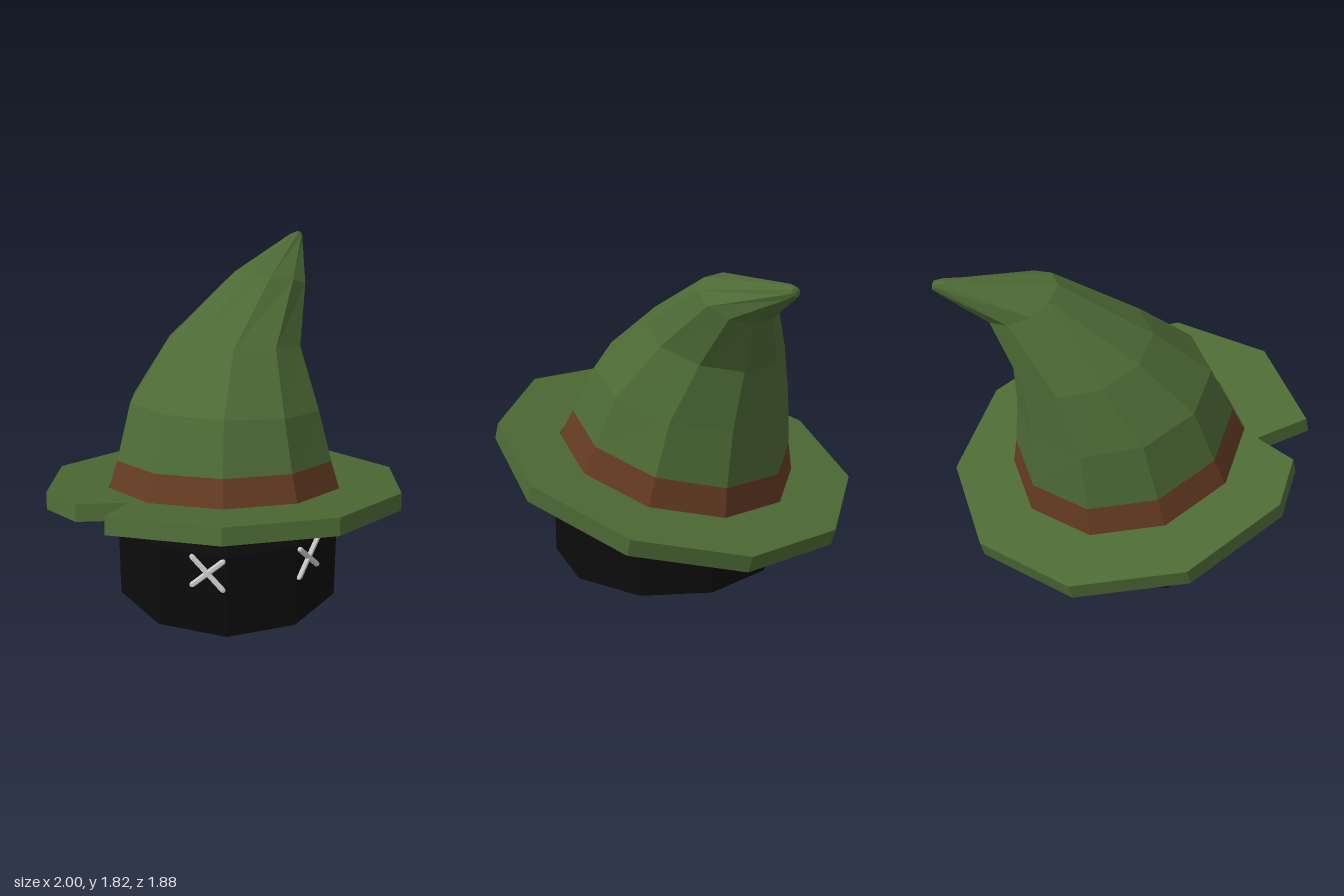
import * as THREE from 'three';

const SIDES = 10;
const UP = new THREE.Vector3(0, 1, 0);
const TILT = [0.075, 1, -0.244]; // normal of the tilted brim

const material = (color, side = THREE.FrontSide) =>
  new THREE.MeshStandardMaterial({ color, flatShading: true, side });

function tiltTo(normal) {
  return new THREE.Quaternion().setFromUnitVectors(UP, new THREE.Vector3(...normal).normalize());
}

// Ring of points around a centre, facing along a normal
function ring(center, radius, normal) {
  const q = tiltTo(normal);
  const c = new THREE.Vector3(...center);
  return Array.from({ length: SIDES }, (_, i) => {
    const t = (i / SIDES) * Math.PI * 2;
    return new THREE.Vector3(Math.cos(t) * radius, 0, Math.sin(t) * radius).applyQuaternion(q).add(c);
  });
}

// Skin between successive rings
function loft(rings) {
  const pos = [];
  for (let r = 0; r < rings.length - 1; r++) {
    for (let i = 0; i < SIDES; i++) {
      const j = (i + 1) % SIDES;
      const [a, b, c, d] = [rings[r][i], rings[r][j], rings[r + 1][i], rings[r + 1][j]];
      for (const p of [a, c, b, b, c, d]) pos.push(p.x, p.y, p.z);
    }
  }
  const g = new THREE.BufferGeometry();
  g.setAttribute('position', new THREE.Float32BufferAttribute(pos, 3));
  g.computeVertexNormals();
  return g;
}

export function createModel() {
  const model = new THREE.Group();
  const green = material(0x4d6a35, THREE.DoubleSide);
  const brown = material(0x643a22, THREE.DoubleSide);
  const black = material(0x0c0c0c);
  const grey = material(0xcccccc);

  const add = (name, geometry, mat, parent = model) => {
    const mesh = new THREE.Mesh(geometry, mat);
    mesh.name = name;
    parent.add(mesh);
    return mesh;
  };

  // Head: ten-sided barrel with a bevelled base and a domed top under the hat
  const profile = [[0, 0], [0.42, 0], [0.625, 0.07], [0.625, 0.56], [0.55, 0.72], [0.38, 0.84], [0, 0.88]]
    .map(([x, y]) => new THREE.Vector2(x, y));
  add('head', new THREE.LatheGeometry(profile, SIDES, Math.PI / 2), black).position.z = 0.065;

  // Brim: decagon with a torn notch and an opening for the head
  const corner = (i, r) => {
    const t = (i / SIDES) * Math.PI * 2;
    return new THREE.Vector2(Math.cos(t) * r, Math.sin(t) * r);
  };
  const outline = [];
  const opening = [];
  for (let i = 0; i < SIDES; i++) {
    outline.push(corner(i, 1));
    opening.push(corner(i, 0.66));
    if (i === 5) outline.push(new THREE.Vector2(-0.9, -0.3), new THREE.Vector2(-0.64, -0.35));
  }
  const shape = new THREE.Shape(outline);
  shape.holes.push(new THREE.Path(opening));
  const brimGeometry = new THREE.ExtrudeGeometry(shape, { depth: 0.095, bevelEnabled: false });
  brimGeometry.rotateX(-Math.PI / 2).translate(0, -0.095, 0);
  const brim = add('brim', brimGeometry, green);
  brim.quaternion.copy(tiltTo(TILT));
  brim.position.y = 0.655;

  // Band around the foot of the cone
  const bandTop = ring([0.01, 0.8, -0.03], 0.61, TILT);
  add('hatBand', loft([ring([0, 0.64, 0], 0.66, TILT), bandTop]), brown);

  // Cone bending back and to the left, closed by a blunt tip
  const tipAxis = [0.27, 0.13, -0.3];
  add('hatCone', loft([
    bandTop,
    ring([0.03, 1.09, -0.09], 0.535, [0.11, 1, -0.22]),
    ring([0.125, 1.38, -0.23], 0.38, [0.12, 1, -0.25]),
    ring([0.385, 1.665, -0.395], 0.208, [0.29, 1, -0.34]),
    ring([0.645, 1.778, -0.69], 0.042, tipAxis),
    ring([0.672, 1.791, -0.72], 0.024, tipAxis),
    ring([0.676, 1.793, -0.724], 0, tipAxis),
  ]), green);

  // Cross-stitched eyes on the slanted front facets
  for (const [name, side] of [['leftEye', 1], ['rightEye', -1]]) {
    const eye = new THREE.Group();
    eye.name = name;
    eye.position.set(side * 0.28, 0.45, 0.605);
    eye.rotation.y = side * Math.PI / 5;
    for (const lean of [1, -1]) {
      const stitch = add('stitch', new THREE.CapsuleGeometry(0.016, 0.24, 2, 6), grey, eye);
      stitch.rotation.z = lean * 0.78;
    }
    model.add(eye);
  }

  return model;
}
